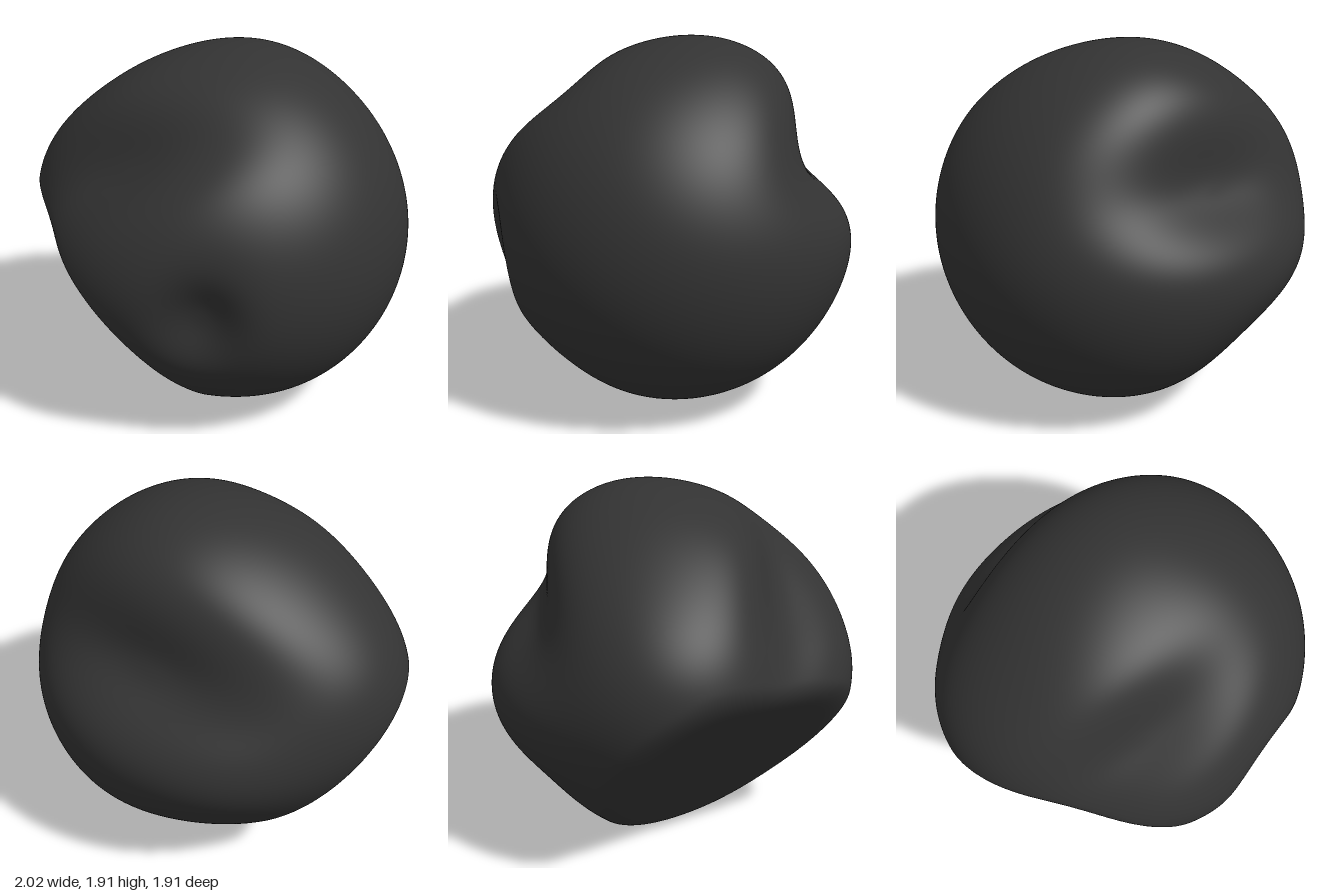
import * as THREE from 'three';
import { mergeVertices } from 'three/addons/utils/BufferGeometryUtils.js';

const RADIUS = 0.952;
const CENTRE = new THREE.Vector3(0.05, 0.954, 0);
const rad = THREE.MathUtils.degToRad;

// Soft oval bump or dent: centre direction, long-axis direction, height (negative = dent),
// angular half-widths along and across the long axis, and falloff power
function dab(centre, axis, height, longWidth, shortWidth, power = 2) {
  const dir = new THREE.Vector3(...centre).normalize();
  const along = new THREE.Vector3(...axis).projectOnPlane(dir).normalize();
  const across = new THREE.Vector3().crossVectors(dir, along);
  return (d) => {
    const angle = d.angleTo(dir);
    const a = d.dot(along), b = d.dot(across);
    const len = Math.hypot(a, b) || 1;
    const q = Math.hypot((angle * a) / len / rad(longWidth), (angle * b) / len / rad(shortWidth));
    return height * Math.exp(-(q ** power));
  };
}

const dabs = [
  dab([-1, 0.17, -0.03], [0, 0, 1], 0.13, 34, 27),                   // pointed side bulge
  dab([-0.38, 0.54, 0.66], [0.85, 0.5, 0.1], -0.165, 34, 17, 2.2),   // upper front hollow
  dab([-0.05, 0.85, 0.35], [1, 0, 0], -0.03, 24, 20),                // shallow hollow on top
  dab([-0.38, -0.03, 0.92], [1, 0, 0], 0.05, 27, 20),                // ridge between the hollows
  dab([0.23, -0.13, 0.97], [0.2, 1, 0], -0.11, 14, 12, 2.3),         // small front dimple
  dab([0.1, -0.75, 0.66], [1, 0, 0], -0.035, 35, 22),                // flattened lower front
  dab([-0.1, 0.43, -0.87], [1, 0.05, 0], -0.22, 40, 20, 2.3),        // wide groove across the upper back
  dab([0.1, 0.93, -0.35], [1, 0, 0], 0.03, 24, 20),                  // crest above the groove
  dab([-0.6, -0.12, -0.78], [1, 0, 0], 0.045, 25, 20),               // swelling below the groove
  dab([-0.4, -0.58, -0.71], [1, 0, 0], -0.06, 28, 25),               // flattened lower back
];

// Large flat facet sliced off the lower side, blended softly into the rest
const facetNormal = new THREE.Vector3(-0.67, -0.62, 0.4).normalize();
const FACET_DISTANCE = 0.69;
const FACET_BLEND = 0.08;

function sliceFacet(d, r) {
  const facing = d.dot(facetNormal);
  if (facing < 0.2) return r;
  const cut = FACET_DISTANCE / facing;
  const h = Math.max(FACET_BLEND - Math.abs(r - cut), 0) / FACET_BLEND;
  return Math.min(r, cut) - (h * h * FACET_BLEND) / 4;
}

function lumpGeometry() {
  let geo = new THREE.IcosahedronGeometry(1, 50);
  geo.deleteAttribute('uv');
  geo.deleteAttribute('normal');
  geo = mergeVertices(geo, 1e-5);
  const pos = geo.attributes.position;
  const d = new THREE.Vector3();
  for (let i = 0; i < pos.count; i++) {
    d.fromBufferAttribute(pos, i).normalize();
    const r = sliceFacet(d, dabs.reduce((sum, height) => sum + height(d), RADIUS));
    d.multiplyScalar(r).add(CENTRE);
    pos.setXYZ(i, d.x, d.y, d.z);
  }
  geo.computeVertexNormals();
  return geo;
}

export function createModel() {
  const group = new THREE.Group();
  group.name = 'dentedBoulder';
  const charcoal = new THREE.MeshStandardMaterial({ color: 0x333333 });
  charcoal.name = 'charcoal';
  const body = new THREE.Mesh(lumpGeometry(), charcoal);
  body.name = 'boulderBody';
  group.add(body);
  return group;
}
